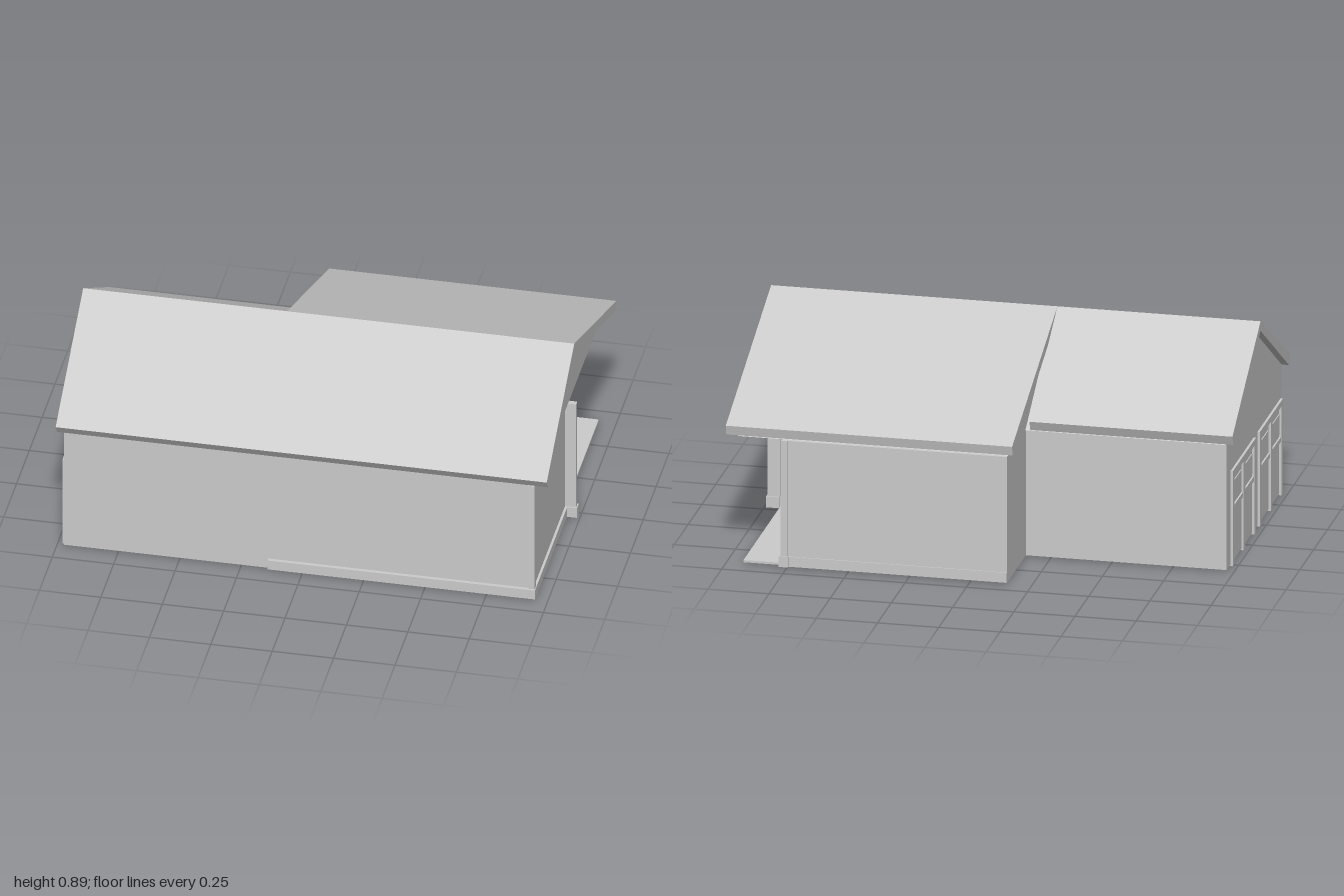
import * as THREE from 'three';

const MAT = new THREE.MeshStandardMaterial({ color: 0xcccccc, side: THREE.DoubleSide });
const EAVE = 0.537;

export function createModel() {
  const house = new THREE.Group();
  house.name = 'house';

  const add = (name, geometry) => {
    const mesh = new THREE.Mesh(geometry, MAT);
    mesh.name = name;
    house.add(mesh);
  };
  // Box given by its limits on each axis
  const box = (name, x0, x1, y0, y1, z0, z1) => {
    const g = new THREE.BoxGeometry(x1 - x0, y1 - y0, z1 - z0);
    g.translate((x0 + x1) / 2, (y0 + y1) / 2, (z0 + z1) / 2);
    add(name, g);
  };
  // Prism along x from a [z, y] profile
  const prism = (name, x0, x1, profile) => {
    const shape = new THREE.Shape(profile.map(([z, y]) => new THREE.Vector2(-z, y)));
    const g = new THREE.ExtrudeGeometry(shape, { depth: x1 - x0, bevelEnabled: false });
    g.rotateY(Math.PI / 2).translate(x0, 0, 0);
    add(name, g);
  };

  // Roof and gable over each wing; the house wing has the longer back slope
  const wings = [
    { name: 'house', x0: -0.17, x1: 1, g0: -0.15, g1: 0.952, back: -0.675, wall: -0.665 },
    { name: 'garage', x0: -1, x1: -0.17, g0: -0.97, g1: -0.15, back: -0.362, wall: -0.345 },
  ];
  for (const w of wings) {
    prism(w.name + 'Roof', w.x0, w.x1, [
      [0.685, 0.575], [0.147, 0.895], [w.back, 0.58],
      [w.wall, 0.54], [0.147, 0.855], [0.66, EAVE],
    ]);
    prism(w.name + 'Gable', w.g0, w.g1, [[0.66, EAVE], [0.147, 0.855], [w.wall, EAVE]]);
  }

  // Floor slabs
  box('houseSlab', -0.15, 0.93, 0.006, 0.015, -0.665, 0.66);
  box('garageSlab', -0.97, -0.15, 0.006, 0.015, -0.335, 0.66);

  // Walls, with the house stepped in behind the side porch
  box('frontRoomWalls', -0.15, 0.94, 0.008, EAVE, 0.03, 0.66);
  box('backRoomWalls', -0.15, 0.77, 0.008, EAVE, -0.68, 0.03);
  box('garageWalls', -0.97, -0.15, 0.008, EAVE, -0.335, 0.66);

  // Skirting around the house wing
  const skirts = [
    [-0.14, 0.95, 0.655, 0.675], [0.935, 0.95, 0.02, 0.675], [0.77, 0.945, 0.018, 0.032],
    [0.765, 0.78, -0.685, 0.03], [-0.15, 0.78, -0.685, -0.675],
  ];
  for (const [x0, x1, z0, z1] of skirts) box('skirting', x0, x1, 0.008, 0.05, z0, z1);

  // Corner boards and the post beside the side porch
  box('frontCornerBoard', 0.92, 0.947, 0.05, EAVE, 0.645, 0.666);
  box('backCornerBoard', 0.745, 0.773, 0.05, EAVE, -0.686, -0.675);
  box('backCornerBoardFoot', 0.742, 0.782, 0.006, 0.05, -0.69, -0.675);
  box('porchPost', 0.935, 0.985, 0.05, EAVE, 0.018, 0.04);
  box('porchPostFoot', 0.935, 0.99, 0.004, 0.05, 0.012, 0.046);

  // Two garage doors: posts, rails and two window panes each
  for (const zc of [-0.055, 0.435]) {
    for (const dz of [-0.195, 0, 0.195]) {
      box('doorPost', -0.98, -0.965, 0, 0.4, zc + dz - 0.014, zc + dz + 0.014);
    }
    box('doorHead', -0.98, -0.965, 0.375, 0.4, zc - 0.209, zc + 0.209);
    box('doorRail', -0.977, -0.965, 0.225, 0.245, zc - 0.195, zc + 0.195);
    for (const dz of [-0.0975, 0.0975]) {
      box('doorWindow', -0.974, -0.965, 0.26, 0.345, zc + dz - 0.07, zc + dz + 0.07);
    }
  }
  return house;
}
